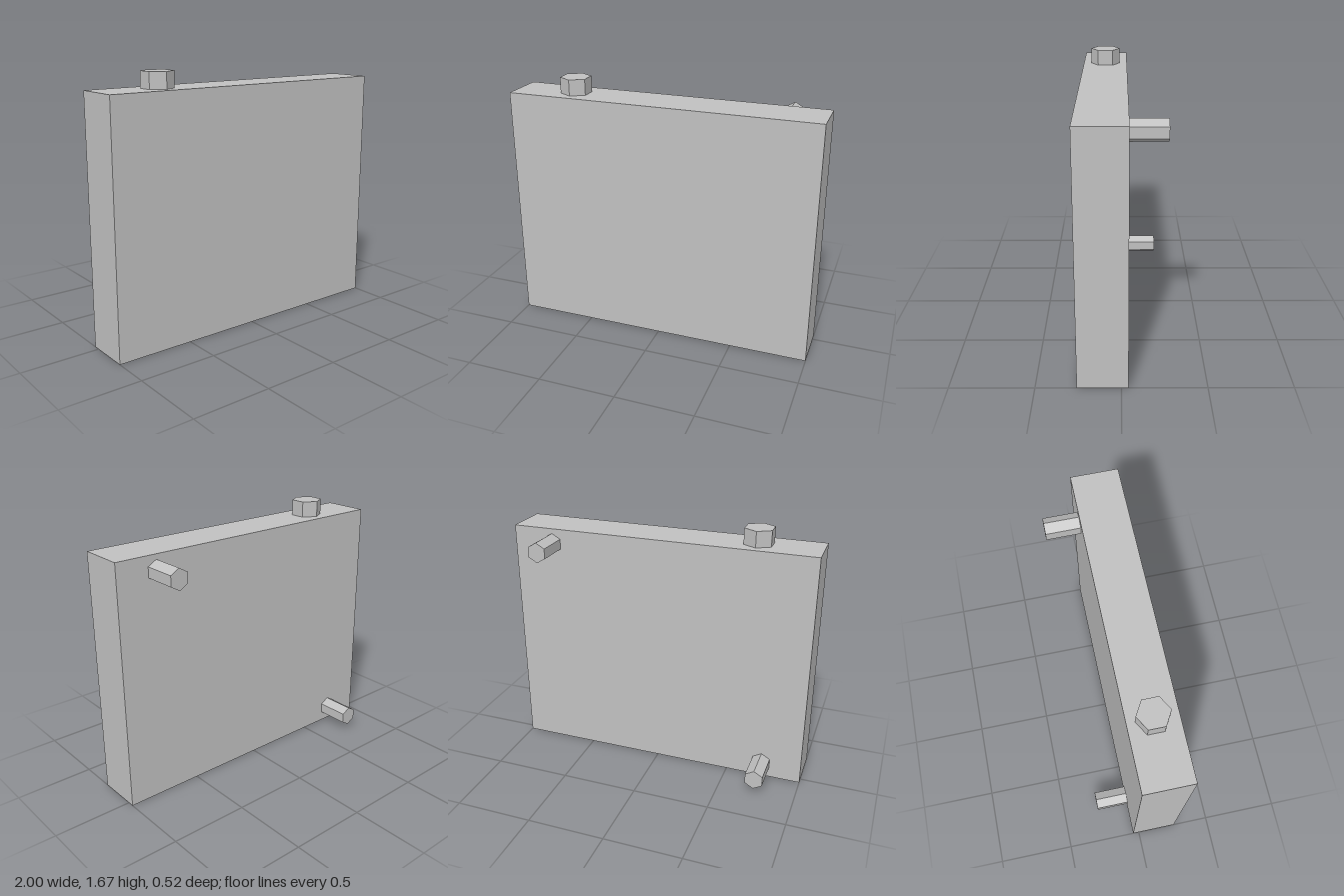
import * as THREE from 'three';

export function createModel() {
  const model = new THREE.Group();
  const grey = new THREE.MeshStandardMaterial({ name: 'light grey', color: 0xc0c0c0, flatShading: true });

  function add(name, geometry, x, y, z) {
    const mesh = new THREE.Mesh(geometry, grey);
    mesh.name = name;
    mesh.position.set(x, y, z);
    model.add(mesh);
  }

  // Slab body, set forward of the pegs
  add('body', new THREE.BoxGeometry(2, 1.566, 0.3), 0, 0.783, 0.109);

  // Hexagonal button on the top edge, corners pointing front and back
  add('topButton', new THREE.CylinderGeometry(0.099, 0.099, 0.102, 6), -0.603, 1.617, 0.108);

  // Hexagonal pegs on opposite corners of the back, corners pointing up and down
  const peg = new THREE.CylinderGeometry(0.066, 0.066, 0.218, 6).rotateX(-Math.PI / 2);
  add('upperPeg', peg, 0.732, 1.468, -0.15);
  add('lowerPeg', peg, -0.735, 0.102, -0.15);

  return model;
}
